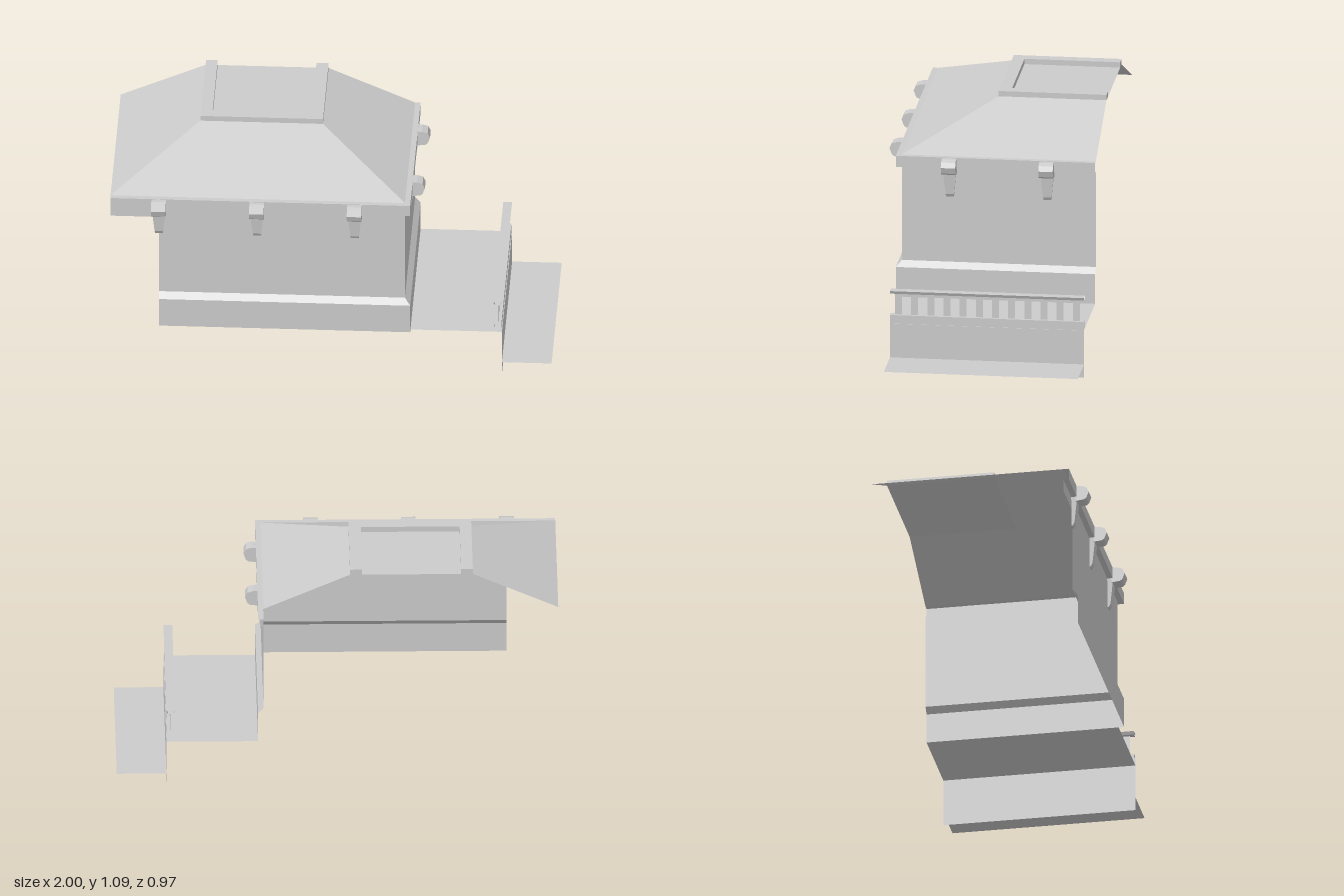
import * as THREE from 'three';

const stone = new THREE.MeshStandardMaterial({ color: 0xcccccc, side: THREE.DoubleSide });
stone.name = 'plain stone';

// Main planes of the building
const WALL_X = 0.335, WALL_Z = 0.405, BACK = -0.48;

function add(parent, name, geometry) {
  const mesh = new THREE.Mesh(geometry, stone);
  mesh.name = name;
  parent.add(mesh);
  return mesh;
}

// Flat faces, each given as four corners in counter-clockwise order
function quads(list) {
  const pos = [];
  for (const [a, b, c, d] of list) pos.push(...a, ...b, ...c, ...a, ...c, ...d);
  const g = new THREE.BufferGeometry();
  g.setAttribute('position', new THREE.Float32BufferAttribute(pos, 3));
  g.computeVertexNormals();
  return g;
}

// Sweeps an (outward offset, height) profile along the front and round the right corner
function cornerSweep(profile, startX) {
  const path = ([o, y]) => [
    [startX, y, WALL_Z + o], [WALL_X + o, y, WALL_Z + o], [WALL_X + o, y, BACK],
  ];
  const faces = [];
  for (let i = 0; i < profile.length - 1; i++) {
    const top = path(profile[i]), low = path(profile[i + 1]);
    for (let k = 0; k < 2; k++) faces.push([top[k], low[k], low[k + 1], top[k + 1]]);
  }
  return quads(faces);
}

// Sweeps an (x, y) profile from the front to the back
function depthSweep(profile) {
  const faces = [];
  for (let i = 0; i < profile.length - 1; i++) {
    const [a, b] = [profile[i], profile[i + 1]];
    faces.push([[...a, WALL_Z], [...b, WALL_Z], [...b, BACK], [...a, BACK]]);
  }
  return quads(faces);
}

function extrude(points, depth) {
  const shape = new THREE.Shape(points.map(([x, y]) => new THREE.Vector2(x, y)));
  return new THREE.ExtrudeGeometry(shape, { depth, bevelEnabled: false });
}

// Eave bracket: faceted head over a tapering leg, pointing along +x
function bracket() {
  const g = new THREE.Group();
  g.name = 'eaveBracket';
  const head = extrude([[0.02, 0.815], [0.06, 0.82], [0.07, 0.828], [0.081, 0.857],
    [0.07, 0.88], [0.045, 0.888], [0.02, 0.888]], 0.066);
  head.translate(0, 0, -0.033);
  add(g, 'bracketHead', head);

  const leg = extrude([[0, 0.70], [0.004, 0.70], [0.013, 0.715], [0.026, 0.82],
    [0.026, 0.84], [0, 0.84]], 0.06);
  leg.translate(0, 0, -0.03);
  const p = leg.attributes.position;
  for (let i = 0; i < p.count; i++) {
    const t = THREE.MathUtils.clamp((p.getY(i) - 0.70) / 0.12, 0, 1);
    p.setZ(i, p.getZ(i) * (0.6 + 0.4 * t));
  }
  leg.computeVertexNormals();
  add(g, 'bracketLeg', leg);
  return g;
}

export function createModel() {
  const model = new THREE.Group();
  model.name = 'cornerPavilion';

  // Walls with the sloped moulding and plinth, and the overhanging cornice
  add(model, 'wallsAndPlinth', cornerSweep(
    [[0, 0.84], [0, 0.39], [0.025, 0.363], [0.025, 0.223]], -0.78));
  add(model, 'cornice', cornerSweep(
    [[0, 0.89], [0.025, 0.89], [0.025, 0.838], [0, 0.838]], -1));
  add(model, 'frieze', quads([[
    [-1, 0.838, WALL_Z], [-1, 0.782, WALL_Z], [-0.78, 0.782, WALL_Z], [-0.78, 0.838, WALL_Z]]]));

  // Hipped roof: left, front and right slopes, open at the back
  const eave = [[-1, 0.89, BACK], [-1, 0.89, WALL_Z], [WALL_X, 0.89, WALL_Z], [WALL_X, 0.89, BACK]];
  const crown = [[-0.613, 1.06, BACK], [-0.613, 1.06, 0.012], [-0.057, 1.06, 0.012], [-0.057, 1.06, BACK]];
  add(model, 'roofSlopes', quads([0, 1, 2].map(
    (i) => [eave[i], eave[i + 1], crown[i + 1], crown[i]])));

  // Flat roof panel with a three-sided kerb
  add(model, 'roofPanel', quads([[crown[0], crown[1], crown[2], crown[3]]]));
  const kerb = extrude([[-0.613, 0.48], [-0.613, -0.012], [-0.057, -0.012], [-0.057, 0.48],
    [-0.112, 0.48], [-0.112, 0.043], [-0.56, 0.043], [-0.56, 0.48]], 0.025);
  kerb.rotateX(-Math.PI / 2).translate(0, 1.06, 0);
  add(model, 'roofKerb', kerb);

  // Brackets along the front and right eaves
  for (const x of [-0.78, -0.335, 0.108]) {
    const b = bracket();
    b.rotation.y = -Math.PI / 2;
    b.position.set(x, 0, WALL_Z);
    model.add(b);
  }
  for (const z of [0.185, -0.26]) {
    const b = bracket();
    b.position.set(WALL_X, 0, z);
    model.add(b);
  }

  // Terrace, its retaining wall and the lower ground
  add(model, 'terrace', depthSweep([[0.36, 0.223], [0.775, 0.223]]));
  add(model, 'retainingWall', depthSweep([[0.775, 0.223], [0.775, 0]]));
  add(model, 'lowerGround', depthSweep([[0.775, 0.063], [1, 0.063]]));

  // Balustrade: kerb, handrail and flat balusters
  const rail = new THREE.Group();
  rail.name = 'balustrade';
  model.add(rail);
  add(rail, 'railKerb', depthSweep(
    [[0.738, 0.223], [0.738, 0.263], [0.772, 0.263], [0.772, 0.223]]));
  add(rail, 'handrail', depthSweep(
    [[0.742, 0.363], [0.735, 0.377], [0.775, 0.377], [0.768, 0.363], [0.742, 0.363]]));
  const count = 12, pitch = (WALL_Z - BACK) / count;
  for (let i = 0; i < count; i++) {
    const slat = new THREE.PlaneGeometry(0.032, 0.1);
    slat.rotateY(Math.PI / 2);
    add(rail, 'baluster', slat).position.set(0.757, 0.313, BACK + pitch * (i + 0.5));
  }
  return model;
}
